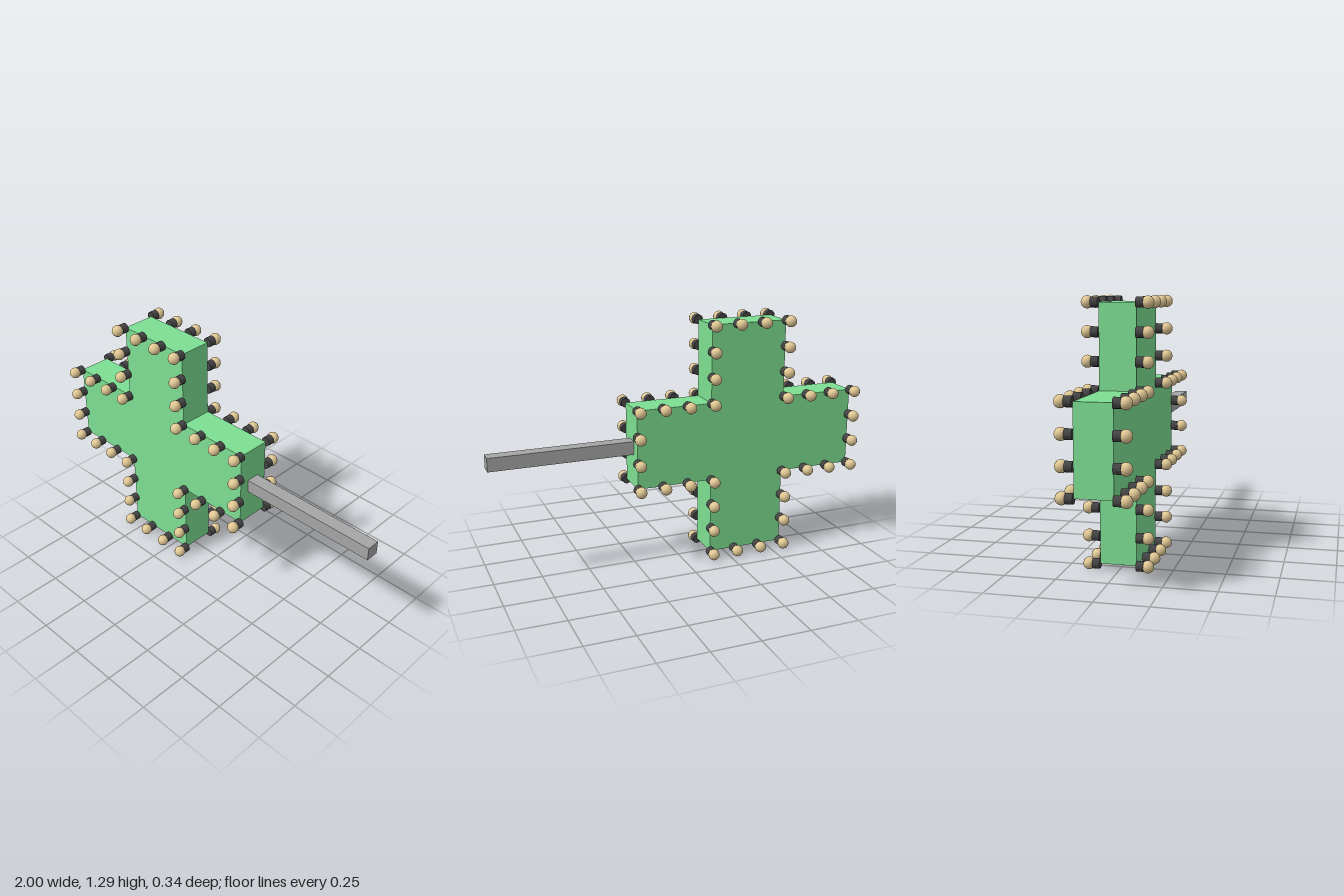
import * as THREE from 'three';

const mat = (color) => new THREE.MeshStandardMaterial({ color });

export function createModel() {
  const model = new THREE.Group();
  model.name = 'crossSign';

  // Cross outline, counter-clockwise
  const [x0, x1, x2, x3] = [-0.97, -0.566, -0.15, 0.255];
  const [y0, y1, y2, y3] = [0.033, 0.44, 0.855, 1.26];
  const outline = [
    [x1, y0], [x2, y0], [x2, y1], [x3, y1], [x3, y2], [x2, y2],
    [x2, y3], [x1, y3], [x1, y2], [x0, y2], [x0, y1], [x1, y1],
  ].map(([x, y]) => new THREE.Vector2(x, y));

  // Thick cross-shaped body
  const half = 0.088;
  const bodyGeo = new THREE.ExtrudeGeometry(new THREE.Shape(outline), {
    depth: half * 2, bevelEnabled: false,
  });
  bodyGeo.translate(0, 0, -half);
  const body = new THREE.Mesh(bodyGeo, mat(0x7ddf92));
  body.name = 'crossBody';
  model.add(body);

  // Square mounting bar on the left arm
  const barLength = 1 - x3;
  const bar = new THREE.Mesh(new THREE.BoxGeometry(barLength, 0.07, 0.07), mat(0xa6a6a6));
  bar.name = 'mountingBar';
  bar.position.set(x3 + barLength / 2, (y0 + y3) / 2, 0);
  model.add(bar);

  // Lamps along the outline on both faces: three per edge, one at every corner
  const socketGeo = new THREE.CylinderGeometry(0.025, 0.025, 0.036, 12).rotateX(Math.PI / 2);
  const bulbGeo = new THREE.SphereGeometry(0.03, 12, 8);
  const socketMat = mat(0x444444);
  const bulbMat = mat(0xe2c995);
  for (const side of [1, -1]) {
    const lamps = new THREE.Group();
    lamps.name = side > 0 ? 'frontLamps' : 'backLamps';
    outline.forEach((corner, i) => {
      const next = outline[(i + 1) % outline.length];
      for (let step = 0; step < 3; step++) {
        const p = corner.clone().lerp(next, step / 3);
        const socket = new THREE.Mesh(socketGeo, socketMat);
        socket.name = 'lampSocket';
        socket.position.set(p.x, p.y, side * (half + 0.018));
        const bulb = new THREE.Mesh(bulbGeo, bulbMat);
        bulb.name = 'lampBulb';
        bulb.position.set(p.x, p.y, side * 0.142);
        lamps.add(socket, bulb);
      }
    });
    model.add(lamps);
  }

  return model;
}
